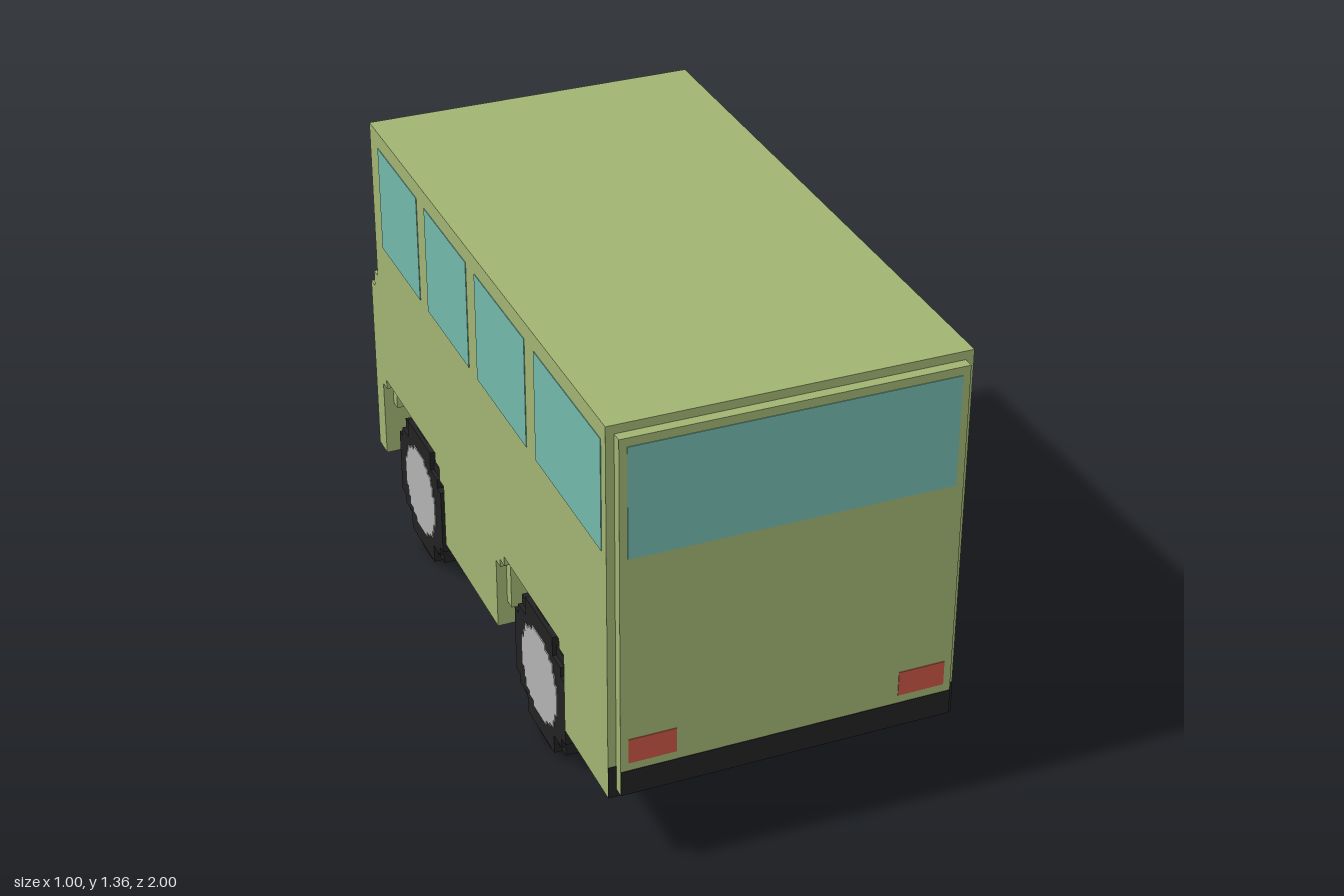
import * as THREE from 'three';

const paint = (color) => new THREE.MeshStandardMaterial({ color, flatShading: true });
const OLIVE = paint(0xa1b372), GLASS = paint(0x72b8ab), BLACK = paint(0x222222);
const RED = paint(0xc85543), HUB = paint(0xb2b2b2), LAMP = paint(0xcdcdb2);

// Box between two corners
function block(parent, name, mat, [x0, x1], [y0, y1], [z0, z1]) {
  const mesh = new THREE.Mesh(new THREE.BoxGeometry(x1 - x0, y1 - y0, z1 - z0), mat);
  mesh.position.set((x0 + x1) / 2, (y0 + y1) / 2, (z0 + z1) / 2);
  mesh.name = name;
  parent.add(mesh);
}

// Side profile of [z, y] points, extruded from x0 to x1
function slab(parent, name, mat, points, x0, x1) {
  const shape = new THREE.Shape(points.map(([z, y]) => new THREE.Vector2(-z, y)));
  const geo = new THREE.ExtrudeGeometry(shape, { depth: x1 - x0, bevelEnabled: false });
  geo.rotateY(Math.PI / 2).translate(x0, 0, 0);
  const mesh = new THREE.Mesh(geo, mat);
  mesh.name = name;
  parent.add(mesh);
}

// Stepped disc outline from one quadrant of [halfWidth, height] steps, top first
function steppedDisc(steps) {
  const quadrant = [];
  steps.forEach(([w, h], i) => {
    quadrant.push([w, h]);
    if (i < steps.length - 1) quadrant.push([w, steps[i + 1][1]]);
  });
  const back = [...quadrant].reverse();
  return [
    ...quadrant,
    ...back.map(([w, h]) => [w, -h]),
    ...quadrant.map(([w, h]) => [-w, -h]),
    ...back.map(([w, h]) => [-w, h]),
  ];
}

// Body outline above the sill; the wheel arches close it below
const UPPER = [[-0.965, 0.227], [-0.965, 0.8], [-0.93, 0.8], [-0.93, 0.85], [-0.895, 0.85],
  [-0.895, 1.355], [0.97, 1.355], [0.97, 0.227]];
const CORE_ARCHES = [
  [0.655, 0.227], [0.655, 0.45], [0.62, 0.45], [0.62, 0.475], [0.585, 0.475], [0.585, 0.505],
  [0.23, 0.505], [0.23, 0.475], [0.195, 0.475], [0.195, 0.45], [0.16, 0.45], [0.16, 0.305],
  [0.125, 0.305], [0.125, 0.227],
  [-0.33, 0.227], [-0.33, 0.25], [-0.365, 0.25], [-0.365, 0.43], [-0.4, 0.43], [-0.4, 0.475],
  [-0.47, 0.475], [-0.47, 0.505], [-0.79, 0.505], [-0.79, 0.475], [-0.86, 0.475],
  [-0.86, 0.4], [-0.895, 0.4], [-0.895, 0.227]];
const SKIN_ARCHES = [
  [0.655, 0.227], [0.655, 0.475], [0.62, 0.475], [0.62, 0.505], [0.195, 0.505], [0.195, 0.475],
  [0.16, 0.475], [0.16, 0.45], [0.125, 0.45], [0.125, 0.227],
  [-0.33, 0.227], [-0.33, 0.43], [-0.365, 0.43], [-0.365, 0.475], [-0.4, 0.475], [-0.4, 0.505],
  [-0.86, 0.505], [-0.86, 0.475], [-0.895, 0.475], [-0.895, 0.227]];

const TYRE = steppedDisc([[0.045, 0.225], [0.105, 0.195], [0.165, 0.165], [0.195, 0.105], [0.225, 0.045]]);
const WALL = steppedDisc([[0.105, 0.195], [0.165, 0.135], [0.195, 0.105]]);
const CAP = steppedDisc([[0.05, 0.137], [0.08, 0.12], [0.107, 0.107], [0.12, 0.08], [0.137, 0.05]]);

function createWheel() {
  const wheel = new THREE.Group();
  wheel.name = 'wheel';
  slab(wheel, 'tyreTread', BLACK, TYRE, -0.072, 0.072);
  slab(wheel, 'tyreWall', BLACK, WALL, -0.086, 0.084);
  slab(wheel, 'hub', HUB, CAP, 0.08, 0.087);
  return wheel;
}

export function createModel() {
  const van = new THREE.Group();
  van.name = 'van';

  // Body core, side skins with slightly wider arches, and end panels
  slab(van, 'bodyCore', OLIVE, [...UPPER, ...CORE_ARCHES], -0.47, 0.47);
  slab(van, 'leftSkin', OLIVE, [...UPPER, ...SKIN_ARCHES], 0.47, 0.5);
  slab(van, 'rightSkin', OLIVE, [...UPPER, ...SKIN_ARCHES], -0.5, -0.47);
  block(van, 'tailPanel', OLIVE, [-0.477, 0.477], [0.25, 1.33], [0.97, 1]);
  block(van, 'nosePanel', OLIVE, [-0.48, 0.48], [0.25, 0.753], [-1, -0.965]);
  block(van, 'nosePanelTop', OLIVE, [-0.455, 0.455], [0.753, 0.775], [-1, -0.965]);

  // Bumper bands painted on both ends
  block(van, 'tailBumperEdge', BLACK, [-0.5, 0.5], [0.227, 0.325], [0.968, 0.972]);
  block(van, 'tailBumper', BLACK, [-0.477, 0.477], [0.25, 0.325], [0.998, 1.002]);
  block(van, 'noseBumperEdge', BLACK, [-0.5, 0.5], [0.227, 0.325], [-0.967, -0.963]);
  block(van, 'noseBumper', BLACK, [-0.48, 0.48], [0.25, 0.325], [-1.002, -0.998]);

  // End windows
  block(van, 'tailWindow', GLASS, [-0.455, 0.455], [0.98, 1.305], [0.998, 1.002]);
  block(van, 'windscreen', GLASS, [-0.483, 0.483], [0.85, 1.33], [-0.897, -0.893]);
  block(van, 'windscreenSill', GLASS, [-0.483, 0.483], [0.81, 0.848], [-0.932, -0.928]);

  // Lamps, side windows and wheels, mirrored left and right
  for (const side of [1, -1]) {
    const span = (a, b) => (side > 0 ? [a, b] : [-b, -a]);
    block(van, 'tailLamp', RED, span(0.32, 0.455), [0.35, 0.425], [0.998, 1.002]);
    block(van, 'headLamp', LAMP, span(0.3, 0.455), [0.385, 0.475], [-1.002, -0.998]);
    for (const z of [[0.475, 0.94], [0.02, 0.405], [-0.4, -0.05], [-0.82, -0.47]])
      block(van, 'sideWindow', GLASS, span(0.498, 0.502), [0.98, 1.305], z);
    for (const z of [0.39, -0.643]) {
      const wheel = createWheel();
      wheel.position.set(side * 0.389, 0.225, z);
      if (side < 0) wheel.rotation.y = Math.PI;
      van.add(wheel);
    }
  }
  return van;
}
